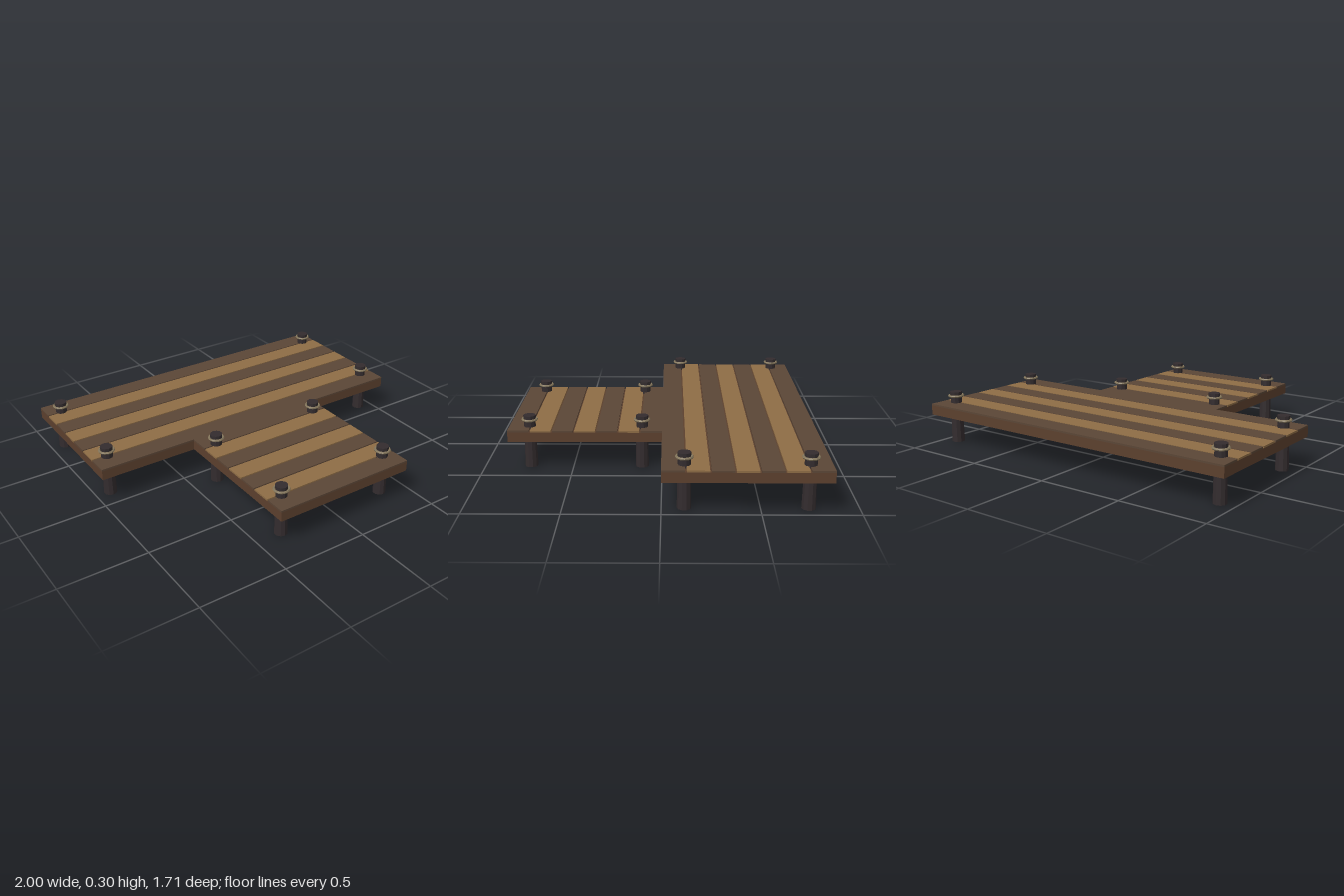
import * as THREE from 'three';

const mat = (name, color, flatShading = false) => {
  const m = new THREE.MeshStandardMaterial({ color, flatShading });
  m.name = name;
  return m;
};

export function createModel() {
  const frameWood = mat('frameWood', 0x5c402e);
  const darkWood = mat('darkWood', 0x5b4636);
  const lightWood = mat('lightWood', 0x8e6d45);
  const postWood = mat('postWood', 0x332c2e, true);
  const rope = mat('rope', 0x85775c, true);

  const model = new THREE.Group();
  model.name = 'dock';

  const add = (parent, name, geometry, material, x, y, z) => {
    const mesh = new THREE.Mesh(geometry, material);
    mesh.name = name;
    mesh.position.set(x, y, z);
    parent.add(mesh);
    return mesh;
  };

  // Eight-sided mooring post with a rope ring below its cap
  const postGeo = new THREE.CylinderGeometry(0.032, 0.037, 0.285, 10);
  const capGeo = new THREE.CylinderGeometry(0.035, 0.035, 0.016, 10);
  const ringGeo = new THREE.TorusGeometry(0.04, 0.007, 6, 14).rotateX(Math.PI / 2);
  const addPost = (parent, x, z) => {
    const post = new THREE.Group();
    post.name = 'post';
    post.position.set(x, 0, z);
    add(post, 'postShaft', postGeo, postWood, 0, 0.1425, 0);
    add(post, 'postCap', capGeo, postWood, 0, 0.292, 0);
    add(post, 'ropeRing', ringGeo, rope, 0, 0.276, 0);
    parent.add(post);
  };

  // Deck section: solid frame, seven alternating planks, four posts
  const depth = 0.855, count = 7, pitch = depth / count, gap = 0.008;
  const addDeck = (name, halfWidth, z0, postX, postZs) => {
    const deck = new THREE.Group();
    deck.name = name;
    add(deck, 'frame', new THREE.BoxGeometry(halfWidth * 2, 0.055, depth), frameWood,
      0, 0.1975, z0 + depth / 2);
    for (let i = 0; i < count; i++) {
      const start = z0 + i * pitch + (i ? gap / 2 : 0);
      const end = z0 + (i + 1) * pitch - (i < count - 1 ? gap / 2 : 0);
      add(deck, 'plank', new THREE.BoxGeometry(halfWidth * 2, 0.01, end - start),
        i % 2 ? lightWood : darkWood, 0, 0.23, (start + end) / 2);
    }
    for (const side of [-1, 1]) for (const z of postZs) addPost(deck, side * postX, z);
    model.add(deck);
  };

  addDeck('backDeck', 1, -0.855, 0.913, [-0.743, -0.115]);
  addDeck('frontDeck', 0.425, 0, 0.343, [0.112, 0.74]);
  return model;
}
